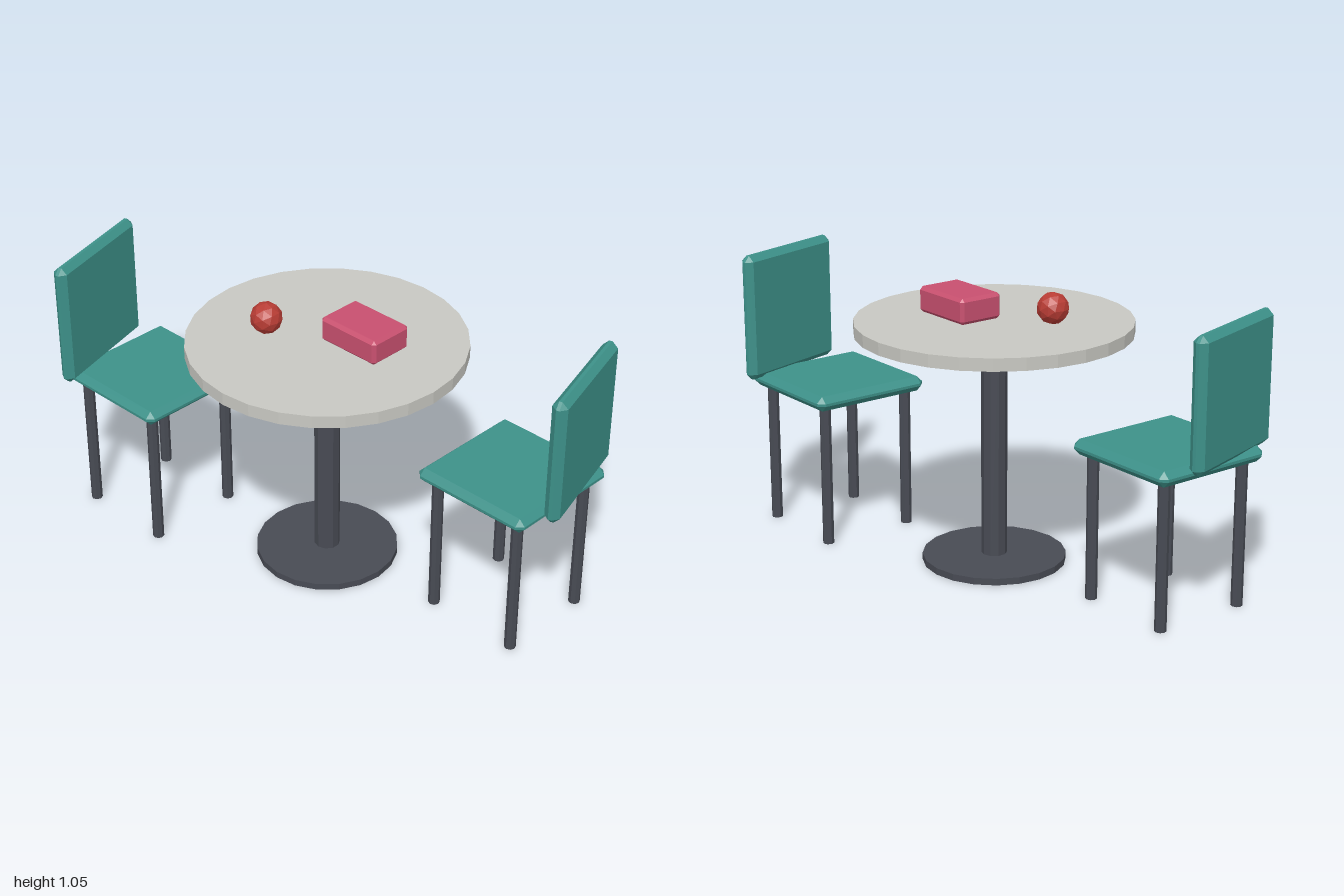
import * as THREE from 'three';
import { ConvexGeometry } from 'three/addons/geometries/ConvexGeometry.js';

const material = (name, color) => {
  const m = new THREE.MeshStandardMaterial({ color, flatShading: true });
  m.name = name;
  return m;
};

// Box with every edge cut by a flat chamfer
function chamferBox(w, h, d, c) {
  const points = [];
  for (const x of [-w / 2, w / 2]) for (const y of [-h / 2, h / 2]) for (const z of [-d / 2, d / 2]) {
    const ix = x - Math.sign(x) * c, iy = y - Math.sign(y) * c, iz = z - Math.sign(z) * c;
    points.push(new THREE.Vector3(x, iy, iz), new THREE.Vector3(ix, y, iz), new THREE.Vector3(ix, iy, z));
  }
  return new ConvexGeometry(points);
}

function add(parent, name, geometry, mat, x, y, z) {
  const mesh = new THREE.Mesh(geometry, mat);
  mesh.name = name;
  mesh.position.set(x, y, z);
  parent.add(mesh);
  return mesh;
}

// Upright cylinder between two heights
function post(parent, name, r, y0, y1, sides, mat, x = 0, z = 0) {
  return add(parent, name, new THREE.CylinderGeometry(r, r, y1 - y0, sides), mat, x, (y0 + y1) / 2, z);
}

export function createModel() {
  const teal = material('teal upholstery', 0x3d9189);
  const metal = material('dark metal', 0x484b54);
  const stone = material('pale tabletop', 0xc8c8c2);
  const red = material('red', 0xb83c34);
  const pink = material('pink', 0xc8506f);
  const model = new THREE.Group();
  model.name = 'tableSet';

  // Pedestal table
  const table = new THREE.Group();
  table.name = 'table';
  post(table, 'base', 0.262, 0, 0.025, 20, metal);
  post(table, 'column', 0.047, 0.025, 0.86, 10, metal);
  post(table, 'tabletop', 0.498, 0.86, 0.906, 28, stone);
  model.add(table);

  // Two chairs facing each other, the second turned half way round
  for (const [name, turn] of [['leftChair', 0], ['rightChair', Math.PI]]) {
    const chair = new THREE.Group();
    chair.name = name;
    const cx = 0.68, cz = -0.214;
    add(chair, 'seat', chamferBox(0.47, 0.056, 0.47, 0.023), teal, cx, 0.556, cz);
    const back = add(chair, 'backrest', chamferBox(0.056, 0.475, 0.47, 0.022), teal, 0.908, 0.808, -0.282);
    back.rotation.y = 0.28;
    for (const sx of [-1, 1]) for (const sz of [-1, 1])
      post(chair, 'leg', 0.021, 0, 0.535, 8, metal, cx + sx * 0.178, cz + sz * 0.178);
    chair.rotation.y = turn;
    model.add(chair);
  }

  // Things on the table
  add(model, 'box', chamferBox(0.257, 0.094, 0.176, 0.012), pink, 0.119, 0.953, -0.062);
  add(model, 'ball', new THREE.IcosahedronGeometry(0.058, 1), red, -0.181, 0.964, 0.118);
  return model;
}
